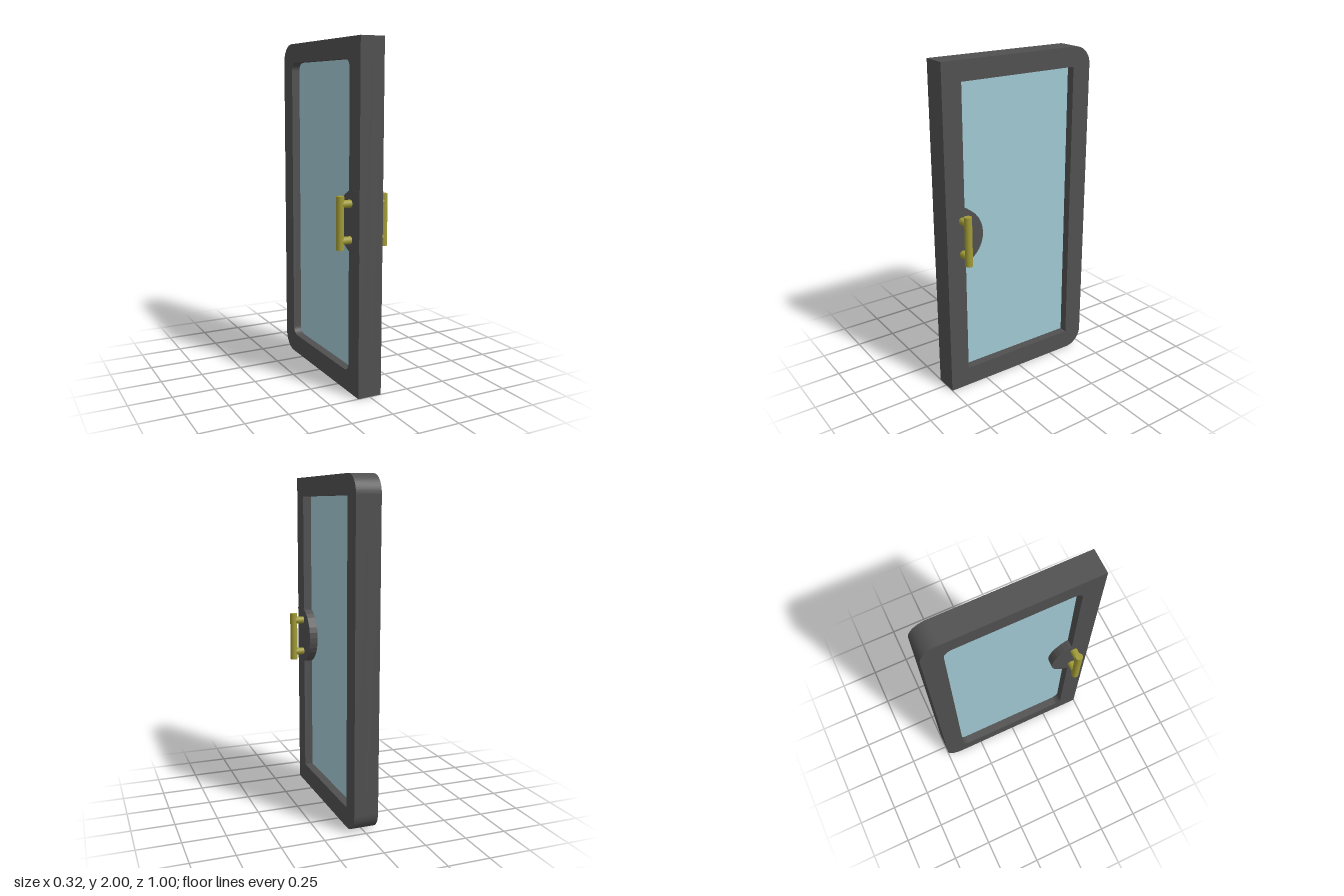
import * as THREE from 'three';

const HALF = 0.073; // half the door thickness
const mat = (color) => new THREE.MeshStandardMaterial({ color });

// Rectangle path with separate corner radii on its hinge (+u) and latch (-u) sides; u = -z
function rect(path, u, y0, y1, rHinge, rLatch) {
  const corner = (cu, cy, r, a) => {
    if (r > 0) path.absarc(cu, cy, r, a, a + Math.PI / 2, false);
    else path.lineTo(cu, cy);
  };
  path.moveTo(-u + rLatch, y0);
  corner(u - rHinge, y0 + rHinge, rHinge, -Math.PI / 2);
  corner(u - rHinge, y1 - rHinge, rHinge, 0);
  corner(-u + rLatch, y1 - rLatch, rLatch, Math.PI / 2);
  corner(-u + rLatch, y0 + rLatch, rLatch, Math.PI);
  path.closePath();
  return path;
}

// Extrude a (u, y) shape across the door, from x0 to x1
function slab(name, shape, x0, x1, material) {
  const geo = new THREE.ExtrudeGeometry(shape, { depth: x1 - x0, bevelEnabled: false, curveSegments: 10 });
  geo.translate(0, 0, x0).rotateY(Math.PI / 2);
  const mesh = new THREE.Mesh(geo, material);
  mesh.name = name;
  return mesh;
}

export function createModel() {
  const door = new THREE.Group();
  door.name = 'door';
  const frameMat = mat(0x505050);
  const glassMat = mat(0xa0c8d2);
  const brassMat = mat(0xa09a36);

  // Frame halves: square opening on the left, rounded opening on the right
  const frameHalf = (name, holeRadius, x0, x1) => {
    const shape = rect(new THREE.Shape(), 0.5, 0, 2, 0.11, 0);
    shape.holes.push(rect(new THREE.Path(), 0.38, 0.12, 1.885, holeRadius, holeRadius));
    door.add(slab(name, shape, x0, x1, frameMat));
  };
  frameHalf('frameLeft', 0, 0, HALF);
  frameHalf('frameRight', 0.05, -HALF, 0);

  // Glass pane, recessed from both faces
  const glass = new THREE.Mesh(new THREE.BoxGeometry(0.044, 1.775, 0.77), glassMat);
  glass.name = 'glass';
  glass.position.set(0, 1.0025, 0);
  door.add(glass);

  // Round handle plate, cut flat at the latch edge and a hair proud of the frame
  const a = Math.acos(-0.06 / 0.18);
  const plate = new THREE.Shape();
  plate.absarc(-0.44, 1, 0.18, -a, a, false);
  plate.closePath();
  door.add(slab('handlePlate', plate, -HALF - 0.001, HALF + 0.001, frameMat));

  // Pull handles, mirrored on both faces
  for (const side of [1, -1]) {
    const handle = new THREE.Group();
    handle.name = side > 0 ? 'handleLeft' : 'handleRight';
    const bar = new THREE.Mesh(new THREE.CylinderGeometry(0.0225, 0.0225, 0.3, 24), brassMat);
    bar.name = 'bar';
    bar.position.set(side * 0.138, 0.995, 0.398);
    handle.add(bar);
    for (const y of [0.895, 1.1]) {
      const post = new THREE.Mesh(new THREE.CylinderGeometry(0.0225, 0.0225, 0.07, 24), brassMat);
      post.name = 'post';
      post.rotation.z = Math.PI / 2;
      post.position.set(side * 0.1, y, 0.398);
      handle.add(post);
    }
    door.add(handle);
  }
  return door;
}
